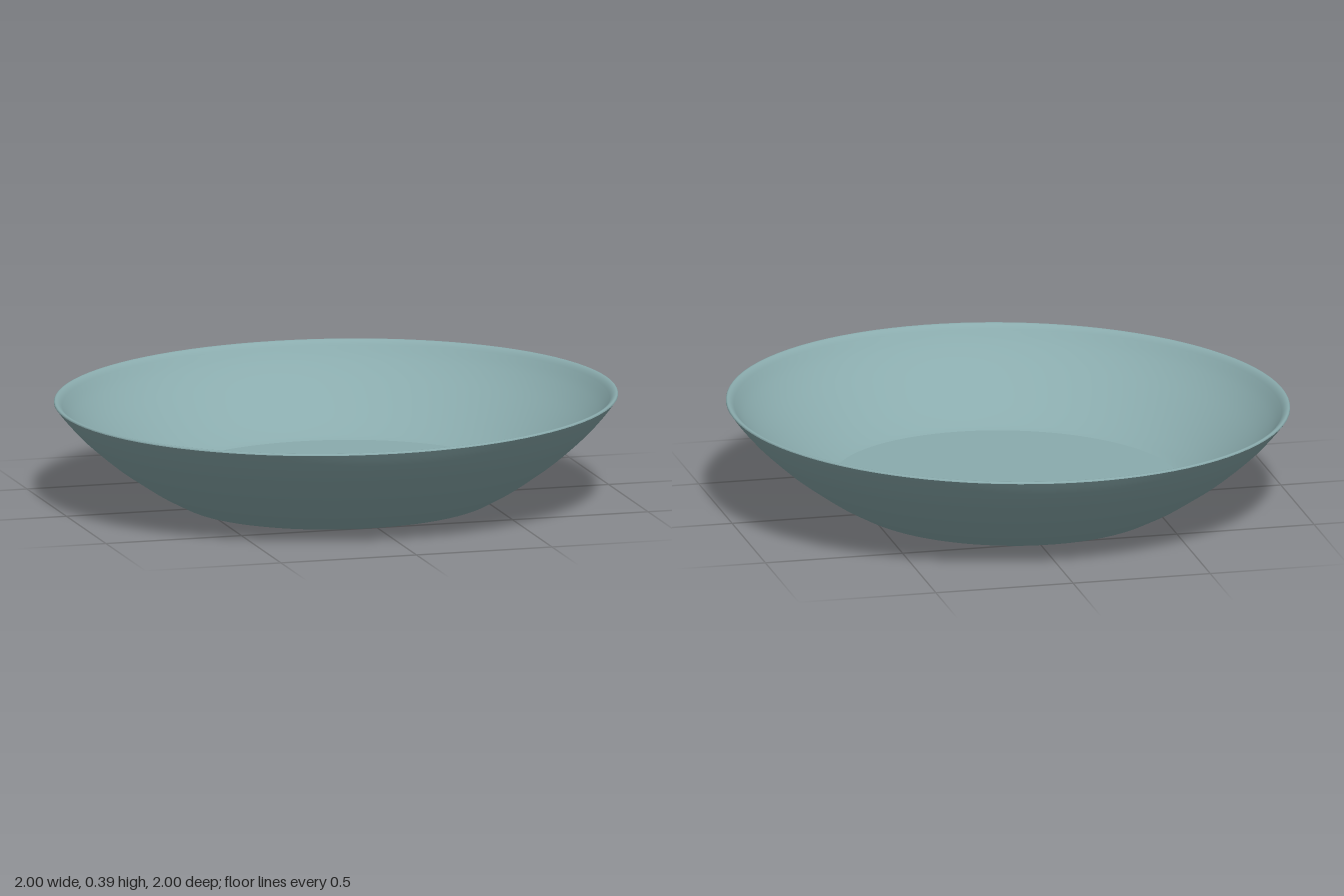
import * as THREE from 'three';

const SEGMENTS = 96;
const TILT = 0.0155;
const FOOT_RADIUS = 0.54;

// Smooth curve through a few [radius, height] points
function smooth(points, divisions) {
  return new THREE.SplineCurve(points.map(([r, y]) => new THREE.Vector2(r, y))).getPoints(divisions);
}

export function createModel() {
  const model = new THREE.Group();
  model.name = 'shallowBowl';
  const glaze = new THREE.MeshStandardMaterial({ color: 0x8aabad });
  glaze.name = 'greyTealGlaze';

  // The bowl leans slightly to one side, resting on its foot
  const bowl = new THREE.Group();
  bowl.name = 'bowl';
  bowl.rotation.z = TILT;
  bowl.position.y = FOOT_RADIUS * Math.sin(TILT);
  model.add(bowl);

  function addLathe(name, profile) {
    const mesh = new THREE.Mesh(new THREE.LatheGeometry(profile, SEGMENTS), glaze);
    mesh.name = name;
    bowl.add(mesh);
  }

  // Profiles run from the underside, out over the rim, and back to the floor
  addLathe('recessedUnderside', smooth([[0, 0.03], [0.47, 0.03]], 1));
  addLathe('footRecessWall', smooth([[0.47, 0.03], [0.487, 0.024], [0.51, 0.008], [0.525, 0]], 8));
  addLathe('footRing', smooth([[0.525, 0], [0.54, 0], [0.56, 0.004], [0.585, 0.017]], 8));
  addLathe('outerWall', smooth([
    [0.585, 0.017], [0.65, 0.053], [0.72, 0.1], [0.8, 0.158],
    [0.9, 0.246], [0.96, 0.311], [1, 0.362],
  ], 24));
  addLathe('rim', smooth([[1, 0.362], [0.998, 0.367], [0.99, 0.368], [0.978, 0.36], [0.968, 0.347]], 8));
  addLathe('innerWall', smooth([
    [0.968, 0.347], [0.935, 0.305], [0.88, 0.25], [0.8, 0.185],
    [0.72, 0.13], [0.65, 0.092], [0.62, 0.08],
  ], 24));
  addLathe('floor', smooth([[0.62, 0.08], [0, 0.08]], 1));

  return model;
}
